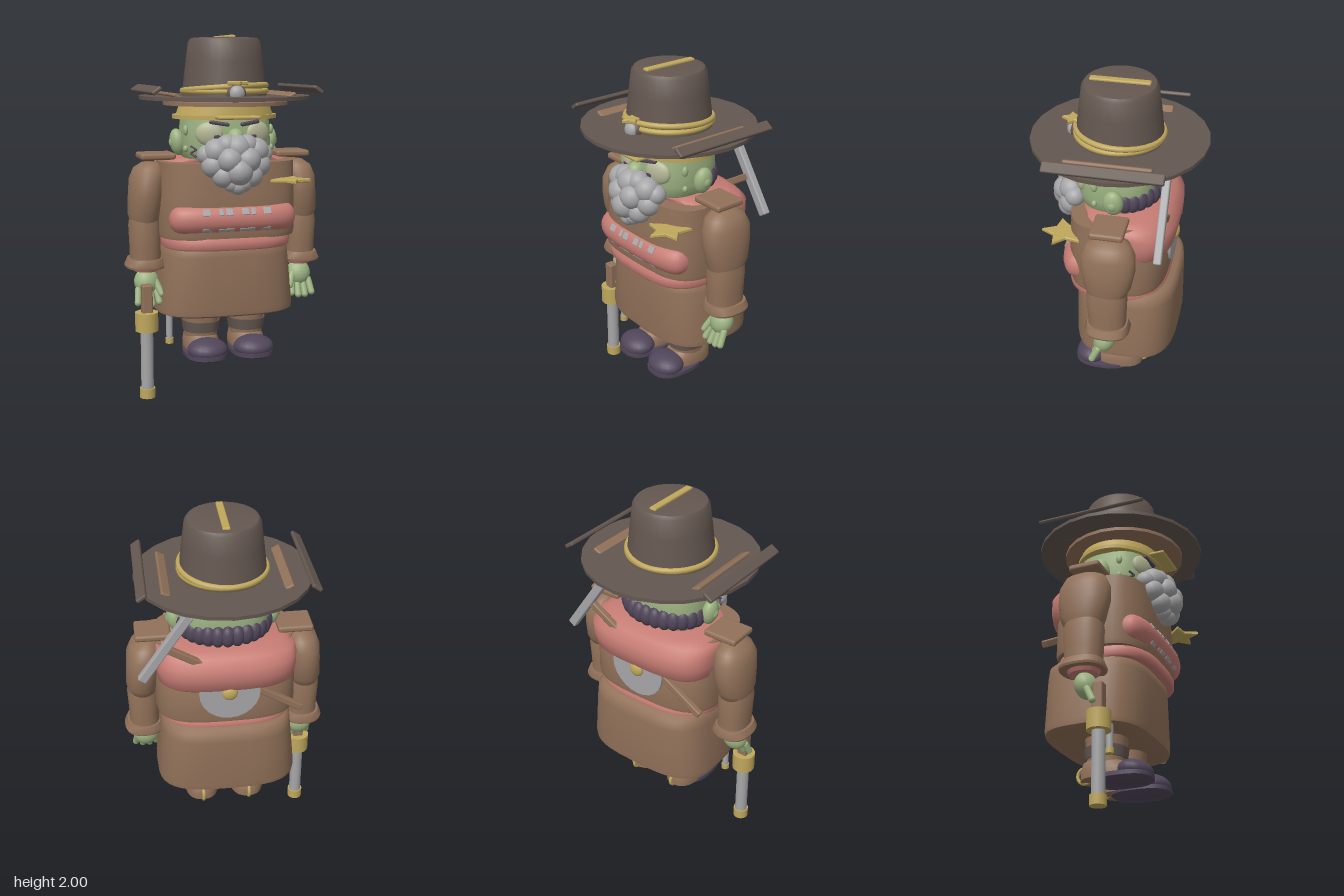
import * as THREE from 'three';
import { toCreasedNormals } from 'three/addons/utils/BufferGeometryUtils.js';
import { RoundedBoxGeometry } from 'three/addons/geometries/RoundedBoxGeometry.js';

const mat = (name, color) => new THREE.MeshStandardMaterial({ name, color });

export function createModel() {
  const felt = mat('dark felt', 0x645750), leather = mat('brown leather', 0x92725a), gold = mat('brass', 0xbfa75c);
  const skin = mat('green skin', 0x9db382), grey = mat('grey', 0xa6a6a8), red = mat('faded red', 0xc67c74);
  const dark = mat('dark purple', 0x51465a), pale = mat('pale skin', 0xb4b795);
  const root = new THREE.Group();

  function add(name, geo, material, pos = [0, 0, 0], rot = [0, 0, 0], scale = [1, 1, 1], parent = root) {
    const m = new THREE.Mesh(geo, material);
    m.name = name;
    m.position.set(...pos);
    m.rotation.set(...rot);
    m.scale.set(...scale);
    parent.add(m);
    return m;
  }
  // Capped stack of superellipse sections [y, rx, rz, cx, cz], listed upward
  function loft(sections, power = 2, crease = 0.7, n = 40) {
    const first = sections[0], last = sections[sections.length - 1];
    const flat = s => [s[0], 0, 0, s[3] || 0, s[4] || 0];
    const rings = [flat(first), ...sections, flat(last)];
    const p = [], idx = [];
    const sp = v => Math.sign(v) * Math.pow(Math.abs(v), 2 / power);
    rings.forEach(([y, rx, rz, cx = 0, cz = 0], j) => {
      for (let i = 0; i < n; i++) {
        const t = (i / n) * Math.PI * 2;
        p.push(cx + rx * sp(Math.cos(t)), y, cz + rz * sp(Math.sin(t)));
        if (j === rings.length - 1) continue;
        const a = j * n + i, b = j * n + (i + 1) % n;
        if (j > 0) idx.push(a, a + n, b);
        if (j < rings.length - 2) idx.push(b, a + n, b + n);
      }
    });
    const g = new THREE.BufferGeometry();
    g.setAttribute('position', new THREE.Float32BufferAttribute(p, 3));
    g.setIndex(idx);
    return toCreasedNormals(g, crease);
  }
  const ball = new THREE.SphereGeometry(1, 20, 14);
  const blob = (name, m, pos, scale, rot = [0, 0, 0], parent = root) => add(name, ball, m, pos, rot, scale, parent);
  const slab = (w, h, d, r = 0.008) => new RoundedBoxGeometry(w, h, d, 2, r);
  const tube = (r, h, r2 = r) => new THREE.CylinderGeometry(r2, r, h, 24);
  function starGeo(r, depth) {
    const s = new THREE.Shape();
    for (let i = 0; i < 10; i++) {
      const a = (i / 10) * Math.PI * 2 + Math.PI / 2, q = i % 2 ? r * 0.5 : r;
      if (i) s.lineTo(Math.cos(a) * q, Math.sin(a) * q); else s.moveTo(0, q);
    }
    return new THREE.ExtrudeGeometry(s, { depth, bevelSize: 0.005, bevelThickness: 0.005, bevelSegments: 1 });
  }

  // Hat
  const crown = [[0, 1.988], [0.165, 1.988], [0.187, 1.983], [0.2, 1.965], [0.214, 1.86], [0.236, 1.67], [0, 1.67]];
  add('hatCrown', toCreasedNormals(new THREE.LatheGeometry(crown.map(c => new THREE.Vector2(...c)).reverse(), 32), 0.6), felt);
  add('hatBrim', new THREE.CylinderGeometry(0.475, 0.475, 0.02, 24), felt, [0, 1.665, 0]);
  add('brimLining', tube(0.345, 0.02), leather, [0, 1.635, 0.02]);
  add('crownStrip', slab(0.04, 0.02, 0.32), gold, [0, 1.99, 0]);
  const ring = new THREE.TorusGeometry(0.232, 0.016, 10, 40);
  add('hatCord', ring, gold, [0, 1.7, 0], [Math.PI / 2, 0, 0]);
  add('hatCord', ring, gold, [0, 1.715, 0], [Math.PI / 2 - 0.06, 0.05, 0]);
  for (const s of [-1, 1]) {
    add('brimRoll', slab(0.06, 0.022, 0.62), felt, [s * 0.443, 1.71, 0], [0, 0, s * -0.6]);
    add('brimTrim', slab(0.06, 0.02, 0.46), leather, [s * 0.315, 1.675, 0], [0, 0, s * 0.5]);
  }
  add('hatStar', starGeo(0.055, 0.012), gold, [0, 1.752, 0.25], [Math.PI / 2, 0, 0]);
  blob('hatOrnament', grey, [0, 1.69, 0.25], [0.043, 0.045, 0.035]);
  blob('hatOrnamentBack', felt, [0, 1.69, 0.235], [0.055, 0.05, 0.035]);
  add('hatBand', loft([[1.565, 0.275, 0.235], [1.64, 0.248, 0.228]]), gold);
  add('hatBandRim', loft([[1.55, 0.293, 0.24], [1.572, 0.293, 0.24]]), gold);
  add('hatBandPlate', slab(0.23, 0.018, 0.09), gold, [0, 1.565, 0.265]);

  // Head and face
  add('head', loft([[1.3, 0.2, 0.17], [1.34, 0.235, 0.2], [1.4, 0.25, 0.215], [1.5, 0.247, 0.215], [1.6, 0.235, 0.2]], 2.6), skin);
  blob('nose', skin, [0, 1.455, 0.225], [0.045, 0.05, 0.05]);
  for (const s of [-1, 1]) {
    blob('ear', skin, [s * 0.265, 1.42, -0.015], [0.042, 0.075, 0.055], [0, 0, s * -0.15]);
    blob('earLobe', skin, [s * 0.285, 1.42, -0.015], [0.028, 0.035, 0.03]);
    blob('eyeSocket', pale, [s * 0.135, 1.475, 0.185], [0.075, 0.065, 0.03], [0, s * 0.35, 0]);
    blob('eye', dark, [s * 0.11, 1.463, 0.21], [0.037, 0.022, 0.012], [0, s * 0.25, s * 0.35]);
    add('eyebrow', slab(0.11, 0.02, 0.025), dark, [s * 0.085, 1.532, 0.21], [0, s * 0.2, s * 0.15]);
    blob('wart', skin, [s * 0.242, 1.49, 0.09], [0.014, 0.028, 0.018]);
    blob('mole', skin, [s * 0.243, 1.39, 0.09], [0.014, 0.018, 0.015]);
  }
  for (let i = 0; i < 3; i++)
    add('stitch', slab(0.04, 0.01, 0.01, 0.003), dark, [-0.215, 1.36 + i * 0.02, 0.155], [0, -0.7, i % 2 ? 0.5 : -0.5]);

  // Beard: [x, y, z, radius], mirrored where x is not zero
  const curls = [[0, 1.4, 0.26, 0.075], [0.055, 1.415, 0.25, 0.06], [0.11, 1.385, 0.24, 0.07], [0.155, 1.365, 0.215, 0.055],
    [0.125, 1.31, 0.24, 0.067], [0.05, 1.34, 0.29, 0.07], [0.075, 1.255, 0.265, 0.065], [0, 1.28, 0.3, 0.075],
    [0.03, 1.215, 0.27, 0.05], [0, 1.2, 0.28, 0.047]];
  for (const [x, y, z, r] of curls)
    for (const s of x ? [-1, 1] : [1]) blob('beardCurl', grey, [s * x, y, z], [r, r, r]);

  // Hair around the nape
  for (let i = 0; i < 13; i++) {
    const a = Math.PI * (0.06 + 0.88 * i / 12);
    blob('hairCurl', dark, [Math.cos(a) * 0.225, 1.4, -0.035 - Math.sin(a) * 0.18], [0.04, 0.062, 0.04]);
  }

  // Coat, neckerchief and belt
  add('coatTop', loft([[0.905, 0.385, 0.27, 0, -0.025], [0.93, 0.39, 0.275, 0, -0.025], [1.15, 0.388, 0.272, 0, -0.025],
    [1.32, 0.378, 0.225, 0, 0.01]], 3.2), leather);
  add('neckerchief', loft([[1.11, 0.35, 0.19, 0, -0.11], [1.135, 0.374, 0.222, 0, -0.105], [1.2, 0.382, 0.23, 0, -0.108],
    [1.265, 0.382, 0.23, 0, -0.108], [1.31, 0.372, 0.225, 0, -0.07], [1.335, 0.31, 0.21, 0, -0.04]], 3, 1), red);
  add('belt', loft([[0.845, 0.357, 0.272, 0, -0.02], [0.855, 0.362, 0.28, 0, -0.02], [0.89, 0.362, 0.28, 0, -0.02],
    [0.91, 0.355, 0.27, 0, -0.02]], 3), red);
  add('coatSkirt', loft([[0.46, 0.365, 0.262, 0, -0.07], [0.472, 0.392, 0.283, 0, -0.07], [0.5, 0.395, 0.287, 0, -0.07],
    [0.8, 0.365, 0.285, 0, -0.07], [0.855, 0.358, 0.28, 0, -0.07], [0.873, 0.34, 0.26, 0, -0.07]], 3.2, 0.9), leather);
  const sash = [];
  for (let i = 0; i <= 10; i++) {
    const a = -Math.PI / 2 + Math.PI * i / 10, c = Math.cos(a);
    sash.push([1.015 + 0.075 * Math.sin(a), 0.3 + 0.055 * c, 0.05 + 0.065 * c, 0, 0.17]);
  }
  add('sash', loft(sash, 2.8, 1), red);
  // Worn pale marks on the sash
  for (const [x, w] of [[0.045, 0.04], [0.09, 0.025], [0.17, 0.045]])
    for (const s of [-1, 1]) {
      add('sashMark', slab(w, 0.04, 0.008, 0.003), grey, [s * x, 1.06, 0.271 - x * x * 0.25], [-0.55, 0, 0]);
      add('sashMark', slab(w + 0.01, 0.022, 0.008, 0.003), grey, [s * (x - 0.005), 0.962, 0.265 - x * x * 0.25], [0.65, 0, 0]);
    }
  add('chestStar', starGeo(0.115, 0.012), gold, [0.295, 1.225, 0.245], [Math.PI / 2, 0, 0]);

  // Tools on the back
  add('backDisc', tube(0.165, 0.015), grey, [0, 1.105, -0.303], [Math.PI / 2, 0, 0]);
  blob('backDiscKnob', gold, [0, 1.105, -0.315], [0.042, 0.042, 0.022]);
  add('toolHandle', slab(0.86, 0.04, 0.035), leather, [-0.03, 1.178, -0.282], [0, 0, 0.54]);
  add('toolHead', slab(0.05, 0.46, 0.042), grey, [0.335, 1.4, -0.287], [0, 0, 0.6]);

  // Arms, hands, legs and shoes
  const capsule = new THREE.CapsuleGeometry(0.019, 0.075, 6, 12);
  for (const s of [-1, 1]) {
    const arm = new THREE.Group();
    arm.name = s > 0 ? 'leftArm' : 'rightArm';
    root.add(arm);
    const put = (name, g, m, pos, rot) => add(name, g, m, pos, rot, undefined, arm);
    put('upperArm', loft([[0.97, 0.075, 0.1, s * 0.455, -0.02], [1.03, 0.09, 0.125, s * 0.455, -0.025], [1.13, 0.095, 0.145, s * 0.445, -0.025],
      [1.22, 0.094, 0.143, s * 0.44, -0.025], [1.28, 0.08, 0.115, s * 0.43, -0.025], [1.31, 0.045, 0.065, s * 0.42, -0.025]], 2.2, 1.2), leather);
    put('forearm', loft([[0.74, 0.085, 0.1, s * 0.452, -0.022], [0.85, 0.085, 0.105, s * 0.453, -0.02], [0.96, 0.088, 0.11, s * 0.455, -0.02],
      [1.03, 0.078, 0.1, s * 0.455, -0.02]], 2.3, 1), leather);
    put('cuff', loft([[0.728, 0.108, 0.122, s * 0.455, -0.022], [0.74, 0.112, 0.125, s * 0.455, -0.022], [0.78, 0.095, 0.11, s * 0.455, -0.022]], 2.5), leather);
    put('shirtCuff', loft([[0.708, 0.07, 0.08, s * 0.45, -0.02], [0.74, 0.085, 0.095, s * 0.45, -0.02]]), red);
    put('epaulette', slab(0.195, 0.036, 0.18, 0.014), leather, [s * 0.387, 1.347, -0.02]);
    blob('palm', skin, [s * 0.45, 0.645, -0.005], [0.07, 0.075, 0.06], [-0.3, 0, 0], arm);
    for (let i = 0; i < 4; i++)
      put('finger', capsule, skin, [s * (0.395 + i * 0.037), 0.56 + (i === 0 || i === 3 ? 0.012 : 0), 0.04], [-0.45, 0, s * (i - 1.5) * 0.08]);
    put('thumb', capsule, skin, [s * 0.39, 0.615, 0.04], [-0.5, 0, s * -0.35]);

    const leg = new THREE.Group();
    leg.name = s > 0 ? 'leftLeg' : 'rightLeg';
    root.add(leg);
    const x = s * 0.135;
    const on = (name, g, m, pos, rot) => add(name, g, m, pos, rot, undefined, leg);
    on('trouserLeg', loft([[0.3, 0.09, 0.1, x, -0.025], [0.5, 0.105, 0.118, x, -0.025]], 2.3), leather);
    on('trouserCuff', loft([[0.345, 0.1, 0.112, x, -0.025], [0.405, 0.108, 0.118, x, -0.025]], 2.3), felt);
    on('shoeSole', loft([[0.212, 0.1, 0.15, x, 0.07], [0.222, 0.118, 0.165, x, 0.068], [0.245, 0.118, 0.165, x, 0.068]], 2.6), dark);
    on('shoeUpper', loft([[0.235, 0.098, 0.145, x, -0.02], [0.28, 0.1, 0.145, x, -0.02], [0.325, 0.088, 0.115, x, -0.035],
      [0.345, 0.075, 0.09, x, -0.035]], 2.4, 1), leather);
    blob('shoeToe', dark, [x, 0.265, 0.135], [0.115, 0.062, 0.097], [0.12, 0, 0], leg);
    on('spur', new THREE.TorusGeometry(0.043, 0.01, 8, 24), gold, [x, 0.277, -0.148], [0, Math.PI / 2, 0]);
  }

  // Long gun held muzzle down
  add('gunBarrel', tube(0.035, 0.36), grey, [-0.467, 0.23, 0.075]);
  add('gunMuzzle', tube(0.043, 0.055), gold, [-0.467, 0.0275, 0.075]);
  add('gunCollar', tube(0.064, 0.105), gold, [-0.467, 0.437, 0.075]);
  add('gunGrip', slab(0.06, 0.17, 0.055, 0.01), leather, [-0.465, 0.56, 0.075]);

  // Small holstered gun under the coat
  add('smallBarrel', tube(0.018, 0.17), grey, [-0.34, 0.405, 0.08]);
  add('smallMuzzle', tube(0.023, 0.03), gold, [-0.34, 0.32, 0.08]);
  return root;
}
